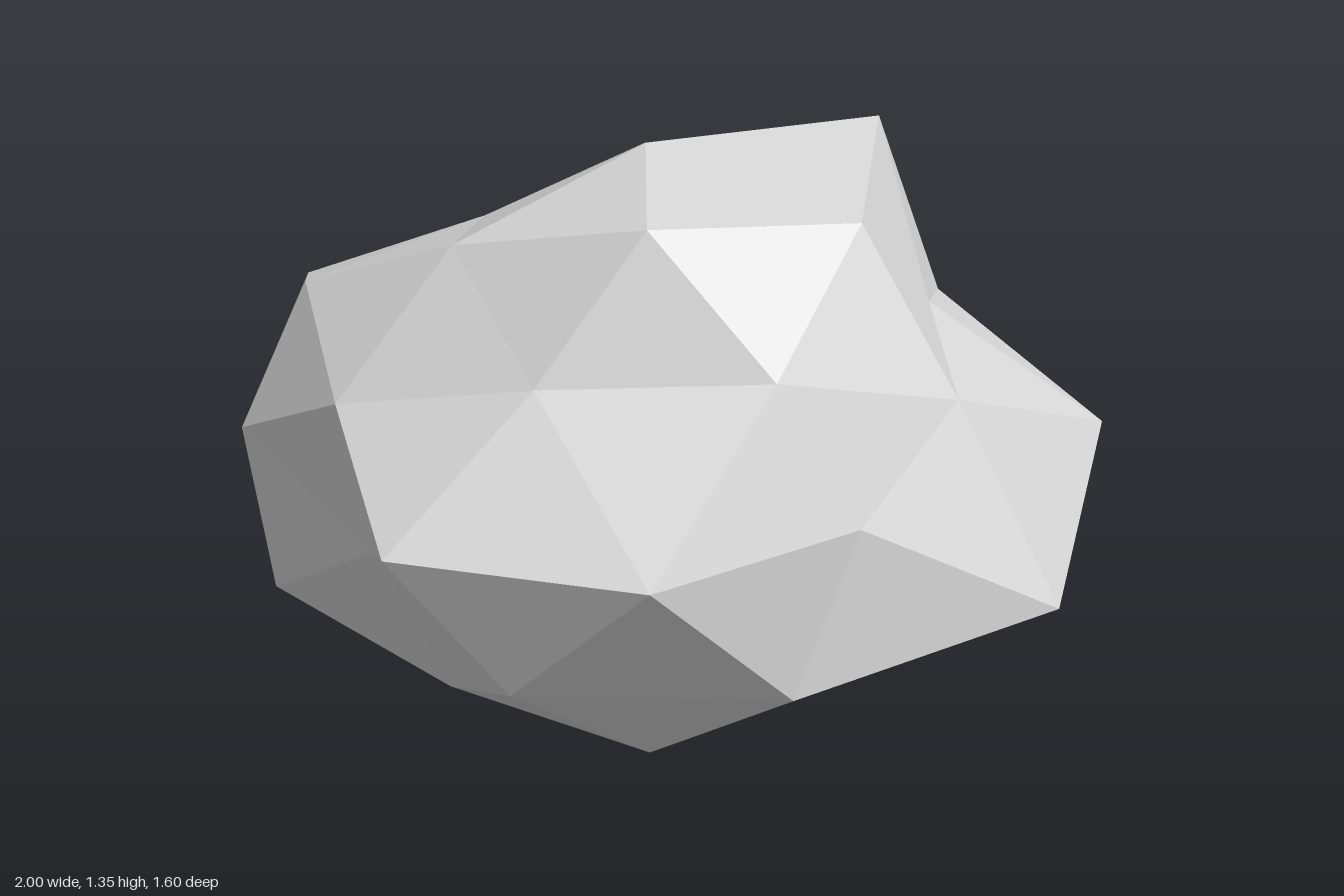
import * as THREE from 'three';

function makeMaterial(name, color) {
  const material = new THREE.MeshStandardMaterial({ color });
  material.name = name;
  return material;
}
const paleStone = makeMaterial('pale stone', 0xd4d4d4);
const greyStone = makeMaterial('grey stone', 0xc8c8c8);

// Facet corners are grouped by direction (|x| and |y| of the unit vector).
// Each list gives the radius for every sign choice of the non-zero axes,
// ordered + before -, with x changing slowest.
const BOULDER = {
  '1.0,0.0': [0.795, 0.703],
  '0.0,1.0': [0.668, 0.678],
  '0.0,0.0': [0.79, 0.622],
  '0.0,0.9': [0.693, 0.67, 0.735, 0.777],
  '0.5,0.0': [0.623, 0.795, 0.76, 0.62],
  '0.9,0.5': [0.565, 0.66, 0.675, 0.785],
  '0.3,0.5': [0.627, 0.753, 0.73, 0.815, 0.565, 0.685, 0.712, 0.81],
  '0.8,0.3': [0.615, 0.665, 0.825, 0.65, 0.615, 0.77, 0.564, 0.556],
  '0.5,0.8': [0.682, 0.816, 0.6, 0.65, 0.62, 0.557, 0.69, 0.57],
};
const SIDE_STONE = {
  '0.0,0.9': [0.28, 0.305, 0.275, 0.306],
  '0.5,0.0': [0.258, 0.308, 0.27, 0.295],
  '0.9,0.5': [0.302, 0.268, 0.27, 0.28],
};

// Icosphere with each corner pushed in or out, then stretched
function makeRock(name, material, detail, radii, scale, centre) {
  const geometry = new THREE.IcosahedronGeometry(1, detail).rotateY(Math.PI / 2);
  const pos = geometry.attributes.position;
  const v = new THREE.Vector3();
  for (let i = 0; i < pos.count; i++) {
    v.fromBufferAttribute(pos, i);
    const key = [v.x, v.y].map((c) => Math.abs(c).toFixed(1)).join();
    let index = 0;
    for (const c of [v.x, v.y, v.z]) {
      if (Math.abs(c) > 0.01) index = index * 2 + (c < 0 ? 1 : 0);
    }
    v.multiplyScalar(radii[key][index]).multiply(scale).add(centre);
    pos.setXYZ(i, v.x, v.y, v.z);
  }
  geometry.computeVertexNormals(); // separate faces, so the facets stay flat
  const mesh = new THREE.Mesh(geometry, material);
  mesh.name = name;
  return mesh;
}

export function createModel() {
  const group = new THREE.Group();
  group.name = 'rock';
  // Large main boulder
  group.add(makeRock('boulder', paleStone, 1, BOULDER,
    new THREE.Vector3(1.335, 1, 1.09), new THREE.Vector3(-0.061, 0.679, -0.062)));
  // Small stone half sunk into its lower side
  group.add(makeRock('sideStone', greyStone, 0, SIDE_STONE,
    new THREE.Vector3(1.48, 1, 1.38), new THREE.Vector3(0.49, 0.335, -0.288)));
  return group;
}
